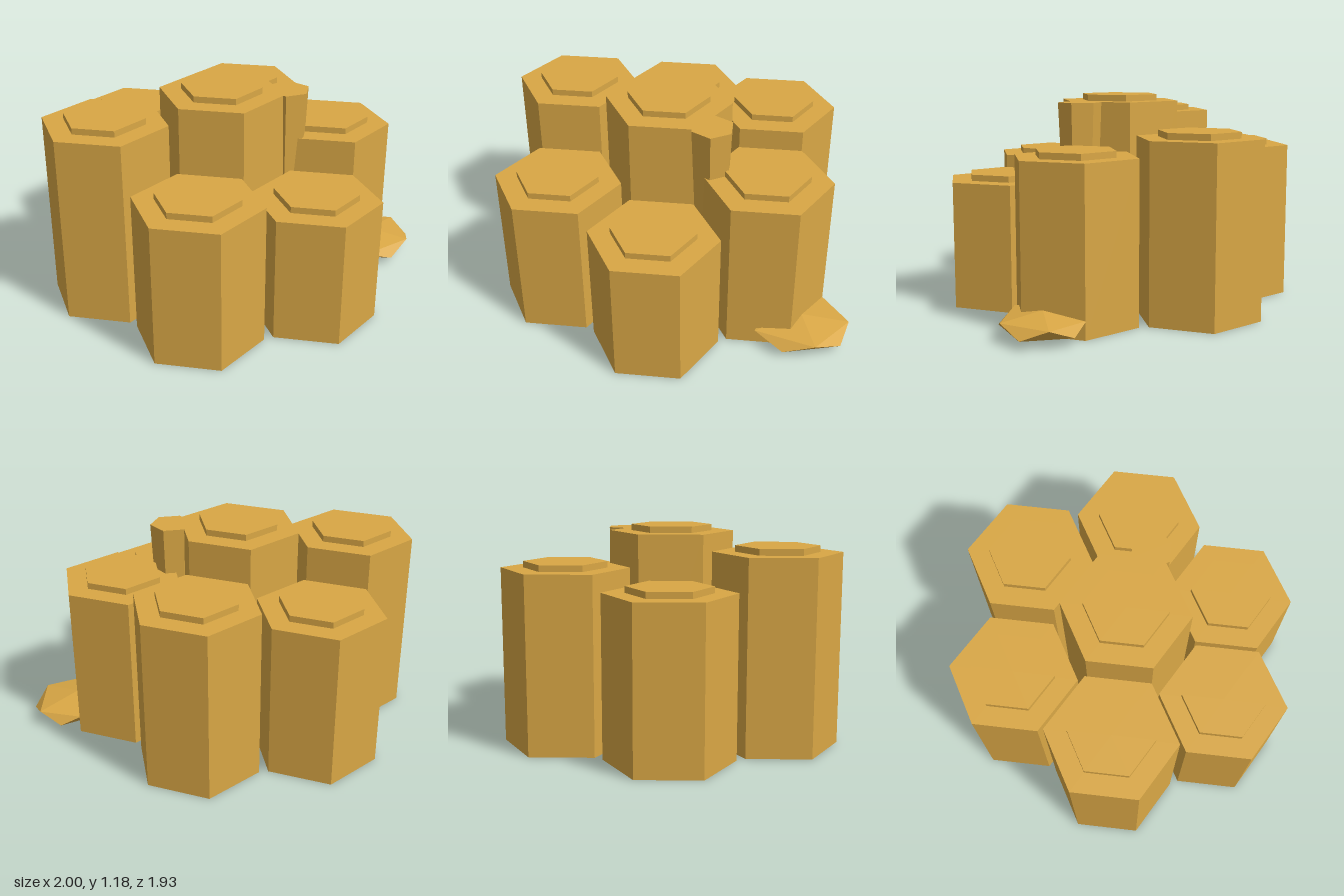
import * as THREE from 'three';
import { ConvexGeometry } from 'three/addons/geometries/ConvexGeometry.js';

const stone = new THREE.MeshStandardMaterial({ color: 0xd9a745, flatShading: true });
stone.name = 'golden stone';

// Six-sided prism standing on height y
function hexPrism(name, rTop, rBottom, height, y, turn) {
  const geometry = new THREE.CylinderGeometry(rTop, rBottom, height, 6, 1, false, turn);
  geometry.translate(0, y + height / 2, 0);
  const mesh = new THREE.Mesh(geometry, stone);
  mesh.name = name;
  return mesh;
}

// Column with a smaller raised cap, corners pointing along x
function column(name, x, z, height) {
  const group = new THREE.Group();
  group.name = name;
  group.add(hexPrism('shaft', 0.352, 0.352, height, 0, Math.PI / 2));
  group.add(hexPrism('cap', 0.229, 0.229, 0.035, height, Math.PI / 2));
  group.position.set(x, 0, z);
  return group;
}

export function createModel() {
  const model = new THREE.Group();
  model.name = 'basaltColumns';

  // Seven columns: one in the middle and a ring of six
  const columns = [
    ['centerColumn', -0.073, 0, 1.15],
    ['frontColumn', -0.073, 0.66, 0.708],
    ['backColumn', -0.073, -0.664, 0.886],
    ['frontLeftColumn', 0.498, 0.33, 0.886],
    ['backLeftColumn', 0.498, -0.332, 0.974],
    ['frontRightColumn', -0.648, 0.33, 0.797],
    ['backRightColumn', -0.648, -0.332, 1.062],
  ];
  for (const c of columns) model.add(column(...c));

  // Thin splinter wedged between the columns, narrowing downward
  const splinter = hexPrism('splinter', 0.121, 0.095, 0.6, 0.55, 0);
  splinter.position.set(0.191, 0, 0.265);
  model.add(splinter);

  // Flat fallen boulder: two staggered five-point rings between two tips
  const upper = [[0.995, 0.525], [0.81, 0.75], [0.478, 0.655], [0.545, 0.445], [0.845, 0.325]];
  const lower = [[0.95, 0.665], [0.635, 0.75], [0.5, 0.56], [0.65, 0.33], [0.94, 0.395]];
  const points = [
    new THREE.Vector3(0.73, 0.135, 0.53),
    new THREE.Vector3(0.73, 0.01, 0.54),
    ...upper.map(([x, z]) => new THREE.Vector3(x, 0.1, z)),
    ...lower.map(([x, z]) => new THREE.Vector3(x, 0.045, z)),
  ];
  const boulder = new THREE.Mesh(new ConvexGeometry(points), stone);
  boulder.name = 'boulder';
  model.add(boulder);

  return model;
}
